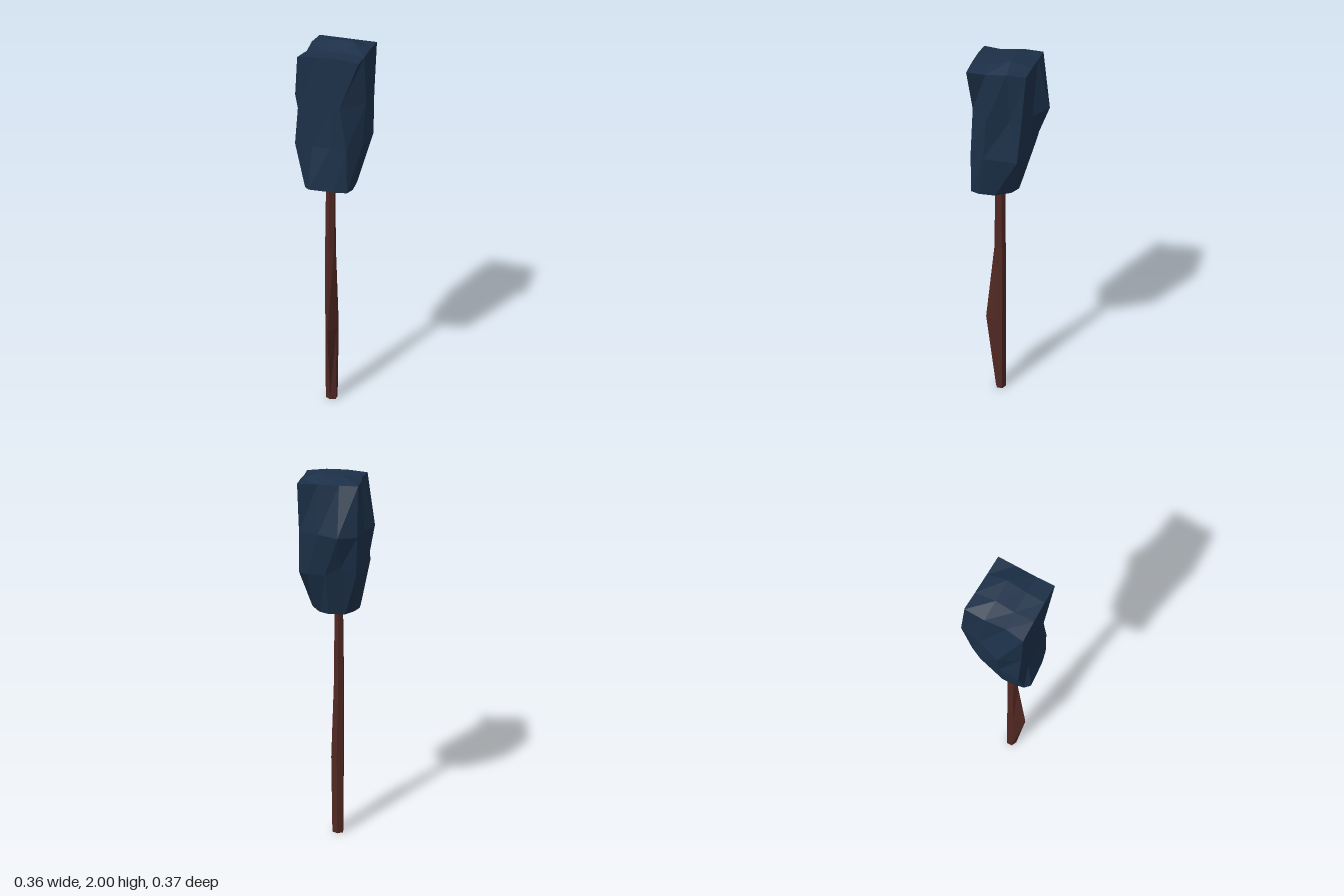
import * as THREE from 'three';

// Flat-shaded mesh from a list of triangle corners
function facetMesh(name, color, corners) {
  const geometry = new THREE.BufferGeometry().setFromPoints(corners);
  geometry.computeVertexNormals();
  const mesh = new THREE.Mesh(geometry, new THREE.MeshStandardMaterial({ color, flatShading: true }));
  mesh.name = name;
  return mesh;
}

const quad = (out, a, b, c, d) => out.push(a, b, c, a, c, d);

// Ring of [x, z] pairs, counterclockwise from above; an optional third value overrides y
const ring = (y, points) => points.map(([x, z, h]) => new THREE.Vector3(x, h ?? y, z));

function skin(out, rings) {
  for (let r = 0; r + 1 < rings.length; r++) {
    const low = rings[r], high = rings[r + 1], n = low.length;
    for (let i = 0; i < n; i++) {
      const j = (i + 1) % n;
      quad(out, low[i], low[j], high[j], high[i]);
    }
  }
}

function capBottom(out, points) {
  const centre = points.reduce((s, p) => s.add(p), new THREE.Vector3()).divideScalar(points.length);
  points.forEach((p, i) => out.push(centre, points[(i + 1) % points.length], p));
}

// Rough stone block: four rings of twelve points (left, front, right, back)
function makeHead() {
  const rings = [
    ring(1.3, [[-.09, 0], [-.11, .05], [-.11, .10], [-.10, .16], [-.075, .185], [.05, .178],
      [.115, .165], [.13, .12], [.125, .04], [.08, -.03], [.03, -.055], [-.05, -.05]]),
    ring(1.52, [[-.11, -.11], [-.14, -.05], [-.145, .05], [-.15, .153], [-.06, .16], [.03, .165],
      [.11, .163], [.165, .085], [.17, -.08], [.13, -.10], [.04, -.11], [-.04, -.12, 1.57]]),
    ring(1.73, [[-.12, -.155], [-.14, -.05], [-.18, .06], [-.13, .155], [-.04, .16], [.03, .16],
      [.075, .16], [.175, .065], [.15, -.04], [.165, -.10], [.07, -.13], [-.03, -.187]]),
    ring(1.97, [[-.12, -.13], [-.125, -.03], [-.115, .07, 1.96], [-.13, .16, 1.96], [-.03, .16], [.07, .16],
      [.165, .16, 1.96], [.165, .07, 1.96], [.165, -.03], [.168, -.12], [.07, -.123], [-.03, -.127]]),
  ];
  const out = [];
  skin(out, rings);
  capBottom(out, rings[0]);

  // Uneven top: a four by four grid around four raised points
  const t = rings[3];
  const [a, b, c, d] = ring(1.97, [[-.03, -.025, 1.99], [.075, -.025, 2], [-.03, .065, 1.965], [.075, .07, 1.97]]);
  const grid = [
    [t[0], t[11], t[10], t[9]],
    [t[1], a, b, t[8]],
    [t[2], c, d, t[7]],
    [t[3], t[4], t[5], t[6]],
  ];
  for (let r = 0; r < 3; r++)
    for (let k = 0; k < 3; k++)
      quad(out, grid[r][k], grid[r + 1][k], grid[r + 1][k + 1], grid[r][k + 1]);
  return facetMesh('head', 0x1c3048, out);
}

// Six-sided wooden handle, swelling forward below its middle
function makeHandle() {
  const sections = [ // y, left x, right x, back z, front z
    [0, -.03, .027, .022, .08],
    [.46, -.03, .032, .02, .13],
    [.92, -.03, .017, .023, .082],
    [1.31, -.025, .015, .025, .077],
  ];
  const rings = sections.map(([y, x0, x1, z0, z1]) => {
    const mid = (x0 + x1) / 2, zb = z0 + .014, zf = Math.min(z1 - .014, .07);
    return ring(y, [[mid, z0], [x0, zb], [x0, zf], [mid, z1], [x1, zf], [x1, zb]]);
  });
  const out = [];
  skin(out, rings);
  capBottom(out, rings[0]);
  return facetMesh('handle', 0x512822, out);
}

export function createModel() {
  const model = new THREE.Group();
  model.name = 'stoneMallet';
  model.add(makeHandle(), makeHead());
  return model;
}
